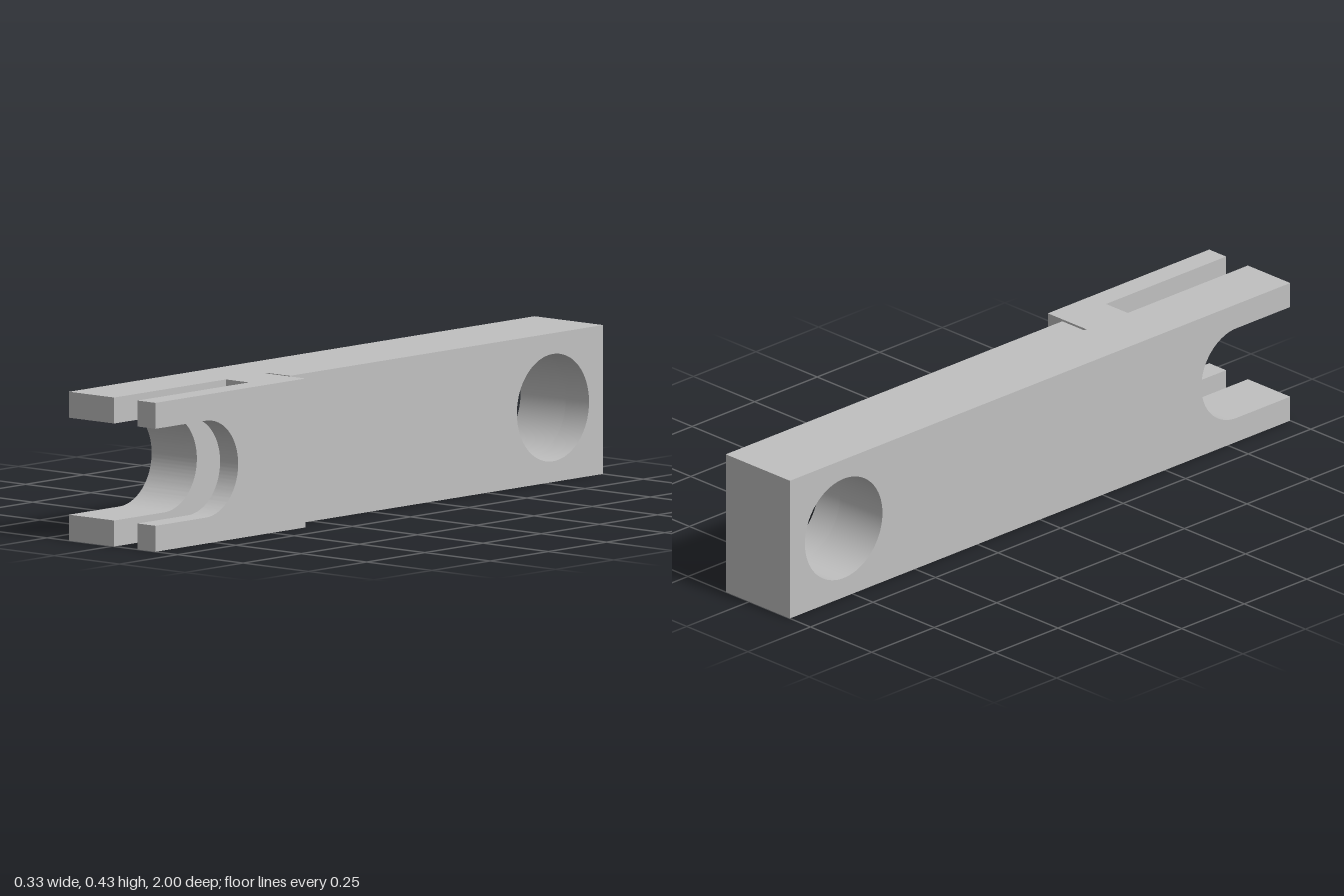
import * as THREE from 'three';
import { toCreasedNormals } from 'three/addons/utils/BufferGeometryUtils.js';

const H = 0.43, MID = H / 2;          // bar height and pin axis height
const PIN_Z = 0.785, FORK_R = 0.14, HOLE_R = 0.155;

// Side outline from z0 (back) to z1 (front); drawn with shape x = -z.
function sideProfile(z0, z1, { fork = false, hole = false } = {}) {
  const s = new THREE.Shape();
  s.moveTo(-z1, 0);
  s.lineTo(-z0, 0);
  s.lineTo(-z0, H);
  s.lineTo(-z1, H);
  if (fork) {
    // open-ended slot with a round bottom
    s.lineTo(-z1, MID + FORK_R);
    s.lineTo(-PIN_Z, MID + FORK_R);
    s.absarc(-PIN_Z, MID, FORK_R, Math.PI / 2, -Math.PI / 2, true);
    s.lineTo(-z1, MID - FORK_R);
  }
  s.closePath();
  if (hole) {
    const h = new THREE.Path();
    h.absarc(PIN_Z, MID, HOLE_R, 0, Math.PI * 2, true);
    s.holes.push(h);
  }
  return s;
}

export function createModel() {
  const model = new THREE.Group();
  model.name = 'forkedLink';
  const grey = new THREE.MeshStandardMaterial({ color: 0xc0c0c0 });
  grey.name = 'grey';

  // Extrude a side outline across x0..x1
  function addSlab(name, shape, x0, x1) {
    const raw = new THREE.ExtrudeGeometry(shape, { depth: x1 - x0, bevelEnabled: false, curveSegments: 40 });
    raw.rotateY(Math.PI / 2).translate(x0, 0, 0);
    const mesh = new THREE.Mesh(toCreasedNormals(raw, Math.PI / 6), grey);
    mesh.name = name;
    model.add(mesh);
  }

  const X = [-0.166, 0.007, 0.096, 0.165];
  // full-length plate with the pin hole and the thick fork cheek
  addSlab('mainPlate', sideProfile(-1, 1, { fork: true, hole: true }), X[0], X[1]);
  // thickening of the bar behind the relief gap
  addSlab('barThickening', sideProfile(-1, 0.345, { hole: true }), X[1], X[2]);
  // web joining the two cheeks
  addSlab('forkWeb', sideProfile(0.355, 0.52), X[1], X[2]);
  // thin outer cheek
  addSlab('outerCheek', sideProfile(0.355, 1, { fork: true }), X[2], X[3]);

  return model;
}
